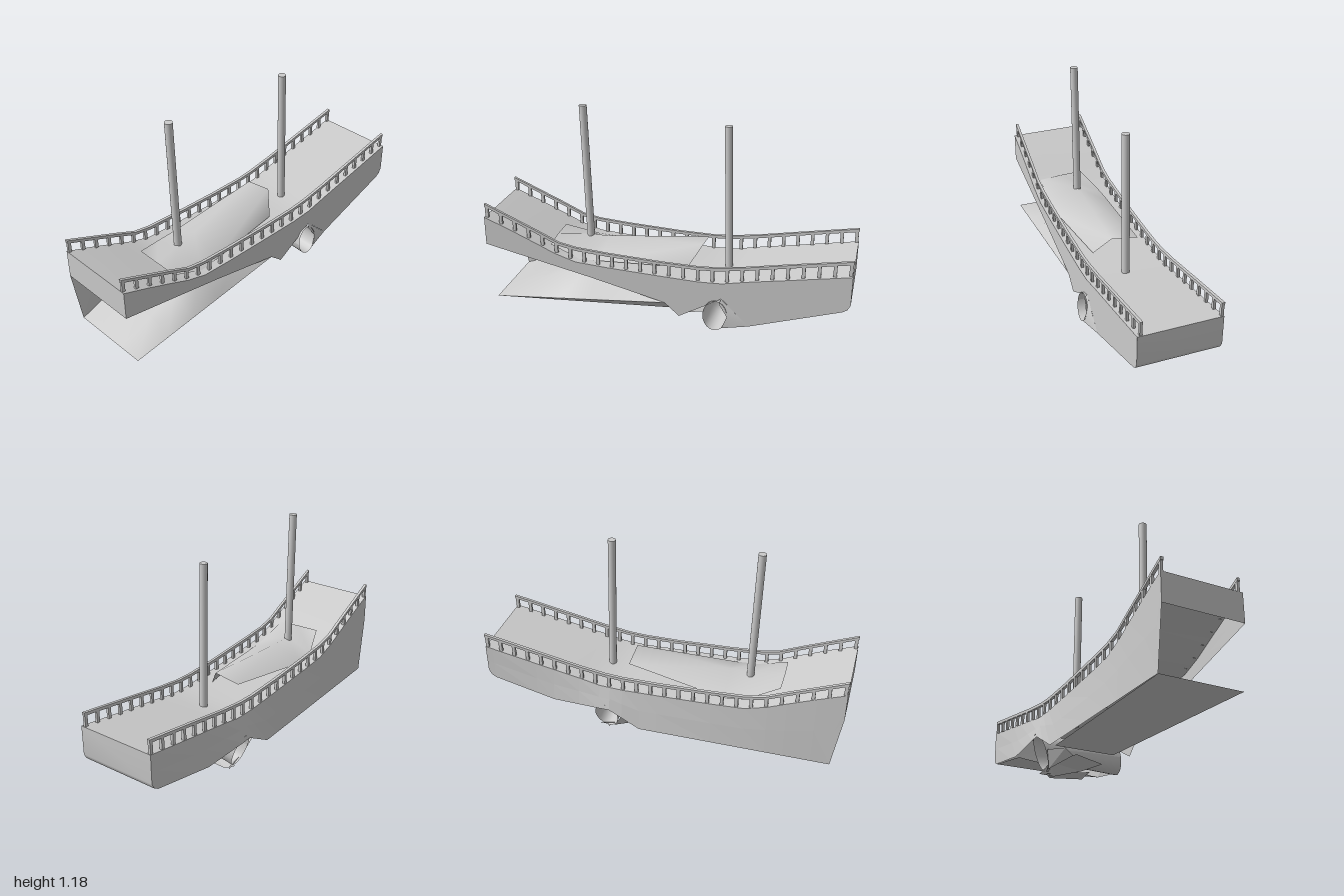
import * as THREE from 'three';

const mat = new THREE.MeshStandardMaterial({ color: 0xcccccc, side: THREE.DoubleSide });
const W = 0.22;

// Profiles along the ship as [z, y] pairs, from bow to stern
const DECK = [[1, 0.57], [0.85, 0.51], [0.7, 0.445], [0.6, 0.4], [0.48, 0.362], [0.3, 0.35], [0, 0.337], [-0.2, 0.33],
  [-0.33, 0.335], [-0.45, 0.36], [-0.7, 0.405], [-1, 0.46]];
const RAIL = [[1, 0.645], [0.85, 0.58], [0.7, 0.515], [0.58, 0.46], [0.48, 0.44], [0.3, 0.427], [0, 0.413], [-0.2, 0.41],
  [-0.3, 0.416], [-0.45, 0.438], [-0.7, 0.485], [-1, 0.54]];
const RIGHT_KEEL = [[1, 0.41], [0.4, 0.28], [-0.02, 0.18], [-0.1, 0.11], [-0.24, 0.19], [-0.33, 0.245], [-0.48, 0.1],
  [-0.96, 0.255], [-0.985, 0.27], [-1, 0.3]];
const LEFT_KEEL = [[1, 0.41], [0.955, 0.09], [-0.1, 0.1], [-0.27, 0.2], [-0.6, 0.19], [-0.96, 0.255], [-0.985, 0.27], [-1, 0.3]];

// Height of a profile at z
function at(profile, z) {
  for (let i = 1; i < profile.length; i++) {
    const [z0, y0] = profile[i - 1], [z1, y1] = profile[i];
    if (z >= z1) return y0 + (y1 - y0) * (z0 - z) / (z0 - z1);
  }
  return profile[profile.length - 1][1];
}

function add(group, name, geometry) {
  const mesh = new THREE.Mesh(geometry, mat);
  mesh.name = name;
  group.add(mesh);
}

// Skin stretched over rows of points of equal length
function skin(rows, smooth = true) {
  const n = rows[0].length, index = [];
  for (let i = 0; i < rows.length - 1; i++) {
    for (let j = 0; j < n - 1; j++) {
      const a = i * n + j, b = a + n;
      index.push(a, a + 1, b, b, a + 1, b + 1);
    }
  }
  let g = new THREE.BufferGeometry();
  g.setAttribute('position', new THREE.Float32BufferAttribute(rows.flat(2), 3));
  g.setIndex(index);
  if (!smooth) g = g.toNonIndexed();
  g.computeVertexNormals();
  return g;
}

// Full-width strip following a profile
const strip = (profile, smooth) => skin(profile.map(([z, y]) => [[-W, y, z], [W, y, z]]), smooth);

// Hull side between deck and keel; the bulge swells towards z = -0.3
function side(keel, sign, bulge) {
  const zs = [...new Set([...DECK, ...keel].map(p => p[0]))].sort((a, b) => b - a);
  return skin(zs.map(z => {
    const top = at(DECK, z), low = at(keel, z);
    const swell = bulge * Math.max(0, z > -0.3 ? (1 - z) / 1.3 : (z + 1) / 0.7);
    return [0, 0.5, 1].map(t => [sign * (W + swell * t), top + (low - top) * t, z]);
  }), false);
}

function cylinderBetween(a, b, r, sides) {
  const p = new THREE.Vector3(...a), q = new THREE.Vector3(...b), d = q.clone().sub(p);
  const g = new THREE.CylinderGeometry(r, r, d.length(), sides);
  g.applyQuaternion(new THREE.Quaternion().setFromUnitVectors(new THREE.Vector3(0, 1, 0), d.normalize()));
  return g.translate(...p.add(q).multiplyScalar(0.5).toArray());
}

function buildHull() {
  const g = new THREE.Group();
  g.name = 'hull';
  add(g, 'deck', strip(DECK));
  add(g, 'rightSide', side(RIGHT_KEEL, 1, 0));
  add(g, 'leftSide', side(LEFT_KEEL, -1, 0.035));
  add(g, 'bowBoard', strip([[1, 0.41], [1, 0.57]], false));
  add(g, 'stern', strip([[-1, 0.46], [-1, 0.3], [-0.985, 0.27], [-0.96, 0.255]]));
  add(g, 'sternRamp', skin([
    [[-W, 0.255, -0.96], [W, 0.255, -0.96]],
    [[-W, 0.19, -0.6], [W, 0.1, -0.48]],
  ]));
  // Flat bottom whose rear right edge turns up to the side
  add(g, 'bottom', skin([
    [[-W, 0.09, 0.955], [0.12, 0.09, 0.955], [W, 0.09, 0.955]],
    [[-W, 0.102, -0.1], [0.12, 0.102, -0.1], [W, 0.18, -0.02]],
  ], false));
  // Sloping surface inside the open bow, rising from the bottom edge to the deck
  add(g, 'bowSlope', skin([
    [[-W, 0.09, 0.955], [-0.08, 0.09, 0.955], [0.08, 0.09, 0.955], [W, 0.09, 0.955]],
    [[-W, 0.16, 0.75], [-0.08, 0.165, 0.75], [0.08, 0.16, 0.75], [W, 0.109, 0.75]],
    [[-W, 0.2, 0.58], [-0.09, 0.24, 0.58], [0.08, 0.23, 0.58], [W, 0.125, 0.58]],
    [[-W, 0.23, 0.4], [-0.1, 0.335, 0.4], [0.08, 0.335, 0.4], [W, 0.141, 0.4]],
    [[-W, 0.24, -0.02], [-0.1, 0.33, -0.02], [0.08, 0.33, -0.02], [W, 0.18, -0.02]],
  ]));
  return g;
}

// Raised plate on the deck
function buildPlate() {
  const left = [[-0.09, 0.435, 0.645], [-0.155, 0.37, 0.47], [-0.165, 0.36, 0.35], [-0.12, 0.44, -0.19]];
  const mid = [[0.04, 0.432, 0.645], [0.0, 0.433, 0.47], [0.0, 0.437, 0.35], [0.03, 0.462, -0.19]];
  const right = [[0.165, 0.425, 0.64], [0.18, 0.362, 0.47], [0.17, 0.36, 0.35], [0.11, 0.35, -0.12]];
  return skin(left.map((p, i) => [p, mid[i], right[i]]));
}

function buildRailing(name, x0, x1) {
  const g = new THREE.Group();
  g.name = name;
  // Handrail with a rectangular section
  add(g, 'handrail', skin(RAIL.map(([z, y]) => [
    [x0, y, z], [x1, y, z], [x1, y - 0.017, z], [x0, y - 0.017, z], [x0, y, z],
  ]), false));
  for (const [z, y] of [RAIL[0], RAIL[RAIL.length - 1]]) {
    const cap = new THREE.PlaneGeometry(x1 - x0, 0.017);
    add(g, 'handrailEnd', cap.translate((x0 + x1) / 2, y - 0.0085, z));
  }
  const count = 26;
  for (let i = 0; i < count; i++) {
    const z = 0.988 - i * 1.976 / (count - 1);
    const low = at(DECK, z) + 0.001, high = at(RAIL, z) - 0.01;
    const post = new THREE.BoxGeometry(x1 - x0 - 0.002, high - low, 0.018);
    add(g, 'post', post.translate((x0 + x1) / 2, (low + high) / 2, z));
  }
  return g;
}

// Open tube running across the hull, with broken plates hanging below
function buildTube() {
  const g = new THREE.Group();
  g.name = 'crossTube';
  const ring = (x, y, ry, rz, lean) => Array.from({ length: 21 }, (_, i) => {
    const a = i / 20 * Math.PI * 2;
    return [x + lean * Math.sin(a), y + ry * Math.sin(a), -0.3 + rz * Math.cos(a)];
  });
  add(g, 'tube', skin([
    ring(0.24, 0.15, 0.082, 0.066, -0.01),
    ring(0.05, 0.148, 0.074, 0.06, 0),
    ring(-0.215, 0.125, 0.1, 0.065, -0.035),
  ]));
  // Side plating drawn out towards the tube mouth
  add(g, 'flaredPlate', skin([
    [[W, 0.245, -0.33], [W, 0.17, -0.405], [W, 0.1, -0.48]],
    [[0.232, 0.22, -0.32], [0.24, 0.15, -0.366], [0.248, 0.085, -0.34]],
  ]));
  add(g, 'brokenPlate', skin([
    [[-0.19, 0.03, -0.37], [-0.14, 0, -0.29]],
    [[-0.18, 0.06, -0.24], [-0.02, 0.02, -0.2]],
    [[-0.1, 0.07, -0.09], [0.06, 0.045, -0.11]],
  ], false));
  add(g, 'brokenFlap', skin([
    [[-0.18, 0.012, -0.3], [-0.14, 0.005, -0.34]],
    [[0.06, 0.045, -0.26], [0.06, 0.032, -0.36]],
  ], false));
  add(g, 'tornEdge', skin([
    [[-0.21, 0.12, -0.22], [-0.18, 0.03, -0.27]],
    [[-0.16, 0.1, -0.1], [-0.12, 0.06, -0.09]],
  ], false));
  return g;
}

export function createModel() {
  const ship = new THREE.Group();
  ship.name = 'ship';
  ship.add(buildHull(), buildTube());
  ship.add(buildRailing('leftRailing', 0.193, 0.208), buildRailing('rightRailing', -0.219, -0.203));
  add(ship, 'deckPlate', buildPlate());
  add(ship, 'frontMast', cylinderBetween([-0.005, 0.355, 0.462], [-0.005, 1.18, 0.484], 0.021, 16));
  add(ship, 'rearMast', cylinderBetween([0.004, 0.32, -0.33], [0.004, 1.13, -0.307], 0.021, 16));
  return ship;
}
